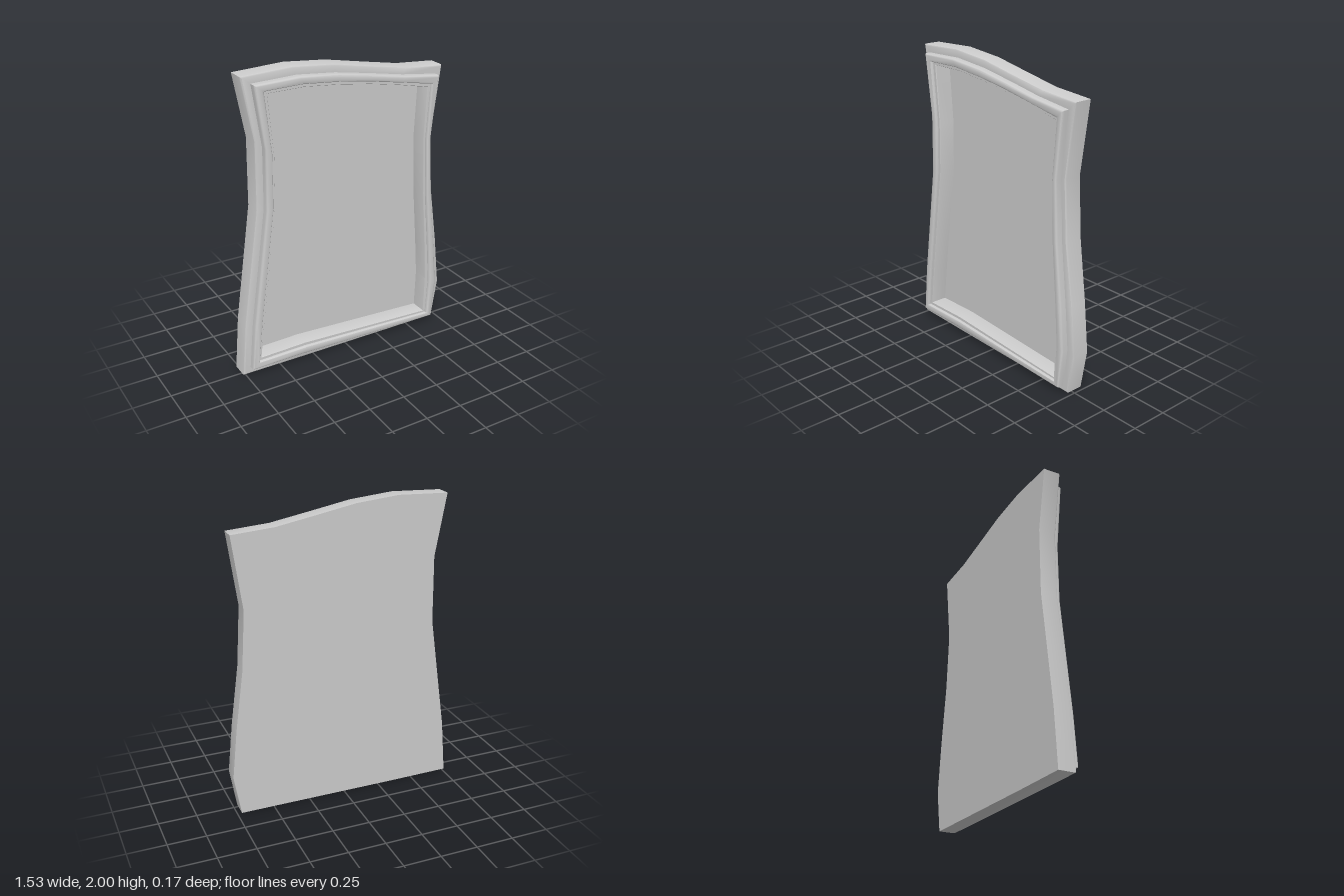
import * as THREE from 'three';
import { toCreasedNormals } from 'three/addons/utils/BufferGeometryUtils.js';

// Matching points of the outer edge and the moulding's inner edge,
// from bottom left up, over the top, down the right side and back
const OUTER = [
  [-0.765, 0.003], [-0.735, 0.37], [-0.625, 1.14], [-0.62, 1.58], [-0.695, 1.985],
  [-0.36, 2.0], [-0.08, 1.975], [0.19, 1.925], [0.44, 1.88], [0.715, 1.86],
  [0.65, 1.39], [0.675, 1.0], [0.73, 0.6], [0.765, 0.27], [0.72, 0], [-0.35, 0],
];
const INNER = [
  [-0.665, 0.1], [-0.635, 0.37], [-0.53, 1.15], [-0.525, 1.5], [-0.565, 1.89],
  [-0.31, 1.895], [-0.07, 1.873], [0.16, 1.84], [0.38, 1.8], [0.61, 1.757],
  [0.585, 1.39], [0.6, 1.0], [0.635, 0.6], [0.655, 0.33], [0.64, 0.07], [-0.33, 0.107],
];
const BACK = -0.083;
const FLOOR = -0.05;
const LIP = 1.2;

// Outline at t: 0 is the outer edge, 1 the moulding's inner edge
const outline = (t) => OUTER.map(([x, y], i) => [
  x + (INNER[i][0] - x) * t,
  y + (INNER[i][1] - y) * t,
]);

// Sweeps a profile of [t, z] pairs round the frame
function sweep(profile) {
  const n = OUTER.length, pos = [], idx = [];
  for (const [t, z] of profile) {
    for (const [x, y] of outline(t)) pos.push(x, y, z);
  }
  for (let k = 0; k < profile.length - 1; k++) {
    for (let i = 0; i < n; i++) {
      const a = k * n + i, b = k * n + (i + 1) % n;
      idx.push(a, a + n, b, b, a + n, b + n);
    }
  }
  const g = new THREE.BufferGeometry();
  g.setAttribute('position', new THREE.Float32BufferAttribute(pos, 3));
  g.setIndex(idx);
  return toCreasedNormals(g, 0.6);
}

// Flat sheet filling the outline at t, facing front or back
function sheet(t, z, facingBack) {
  const s = facingBack ? -1 : 1;
  const pts = outline(t).map(([x, y]) => new THREE.Vector2(s * x, y));
  const g = new THREE.ShapeGeometry(new THREE.Shape(pts));
  if (facingBack) g.rotateY(Math.PI);
  return g.translate(0, 0, z);
}

export function createModel() {
  const group = new THREE.Group();
  const mat = new THREE.MeshStandardMaterial({ color: 0xcccccc });
  const add = (name, geometry) => {
    const mesh = new THREE.Mesh(geometry, mat);
    mesh.name = name;
    group.add(mesh);
  };

  // Wide base frame with a softened front edge
  add('baseFrame', sweep([
    [0, BACK], [0, 0.024], [0.03, 0.031], [0.1, 0.035], [0.5, 0.035],
  ]));

  // Raised moulding with rounded shoulders
  add('raisedMoulding', sweep([
    [0.5, 0.035], [0.5, 0.067], [0.52, 0.076], [0.57, 0.081], [0.63, 0.083],
    [0.87, 0.083], [0.94, 0.081], [0.98, 0.076], [1, 0.067],
  ]));

  // Small inner step and the wall of the recess
  add('innerLip', sweep([
    [1, 0.067], [1, 0.063], [LIP - 0.03, 0.063], [LIP, 0.058], [LIP, FLOOR],
  ]));

  add('panel', sheet(LIP, FLOOR, false));
  add('back', sheet(0, BACK, true));
  return group;
}
